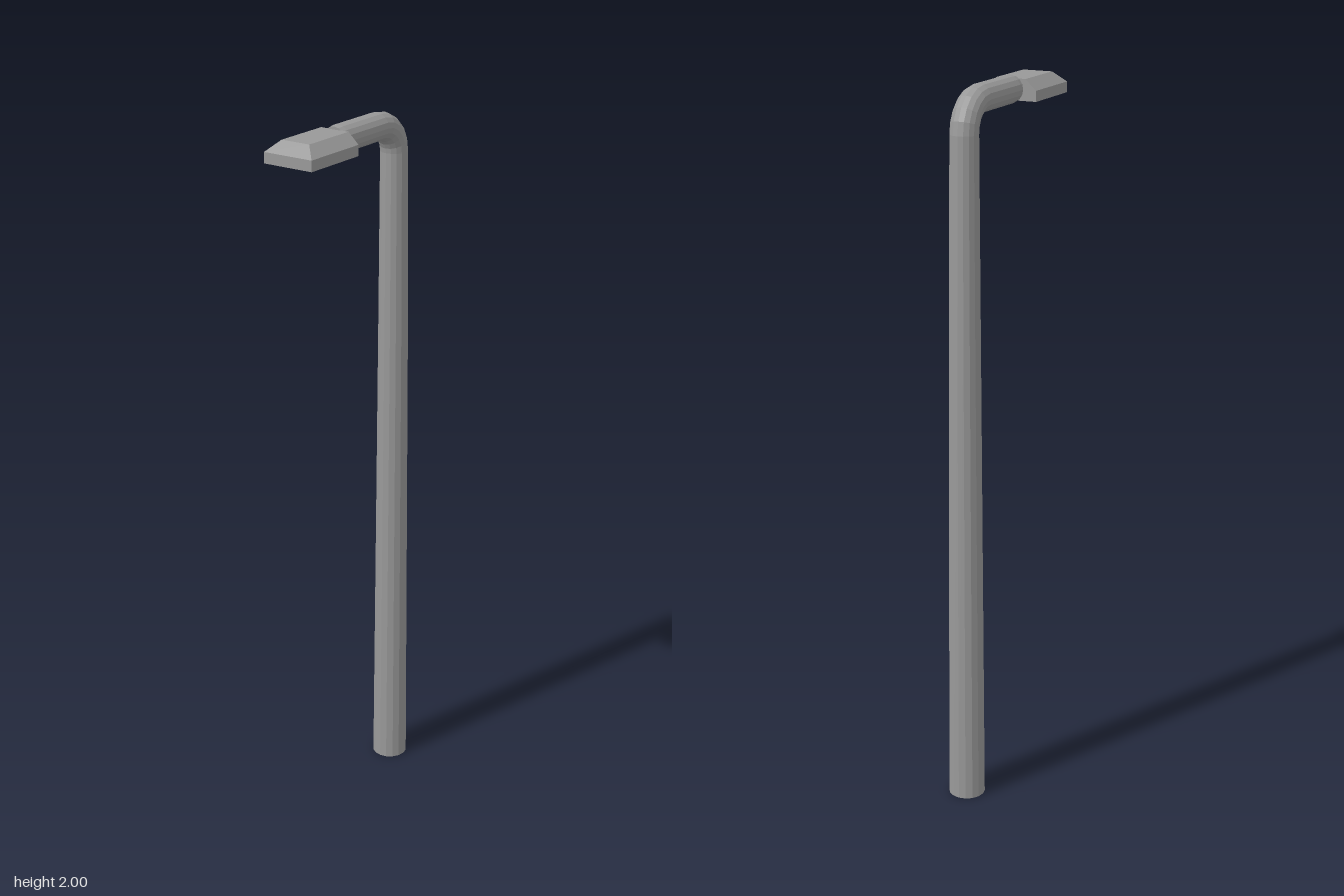
import * as THREE from 'three';

const material = new THREE.MeshStandardMaterial({ color: 0x999999, flatShading: true });

// Skin a list of equal-sized point rings (counter-clockwise about the sweep) and cap both ends.
function loft(name, rings) {
  const n = rings[0].length;
  const last = (rings.length - 1) * n;
  const index = [];
  for (let i = 0; i < rings.length - 1; i++) {
    for (let j = 0; j < n; j++) {
      const k = (j + 1) % n;
      const a = i * n + j, b = i * n + k;
      index.push(a, b, b + n, a, b + n, a + n);
    }
  }
  for (let j = 1; j < n - 1; j++) {
    index.push(0, j + 1, j);
    index.push(last, last + j, last + j + 1);
  }
  const indexed = new THREE.BufferGeometry().setFromPoints(rings.flat());
  indexed.setIndex(index);
  const geometry = indexed.toNonIndexed();
  geometry.computeVertexNormals();
  const mesh = new THREE.Mesh(geometry, material);
  mesh.name = name;
  return mesh;
}

// Circle round a point of the pole; lean turns it from upright (0) towards -x (PI / 2).
function circle(x, y, radius, lean, sides = 16) {
  return Array.from({ length: sides }, (_, j) => {
    const t = (j / sides) * Math.PI * 2;
    const out = radius * Math.cos(t);
    return new THREE.Vector3(
      x + out * Math.cos(lean), y + out * Math.sin(lean), -radius * Math.sin(t));
  });
}

// Level rectangle used for the lamp head.
function rectangle(x0, x1, halfZ, y) {
  return [[x1, -halfZ], [x0, -halfZ], [x0, halfZ], [x1, halfZ]]
    .map(([x, z]) => new THREE.Vector3(x, y, z));
}

export function createModel() {
  const group = new THREE.Group();
  group.name = 'streetLamp';

  // Tapered pole, rounded elbow and horizontal arm
  const bend = 0.08, poleX = 0.202, armY = 1.962, tube = 0.038;
  const rings = [circle(0.211, 0, 0.051, 0), circle(0.206, 1.4, 0.042, 0)];
  const steps = 5;
  for (let i = 0; i <= steps; i++) {
    const a = (i / steps) * Math.PI / 2;
    rings.push(circle(
      poleX - bend + bend * Math.cos(a), armY - bend + bend * Math.sin(a), tube, a));
  }
  rings.push(circle(-0.05, armY, tube, Math.PI / 2));
  rings.push(circle(-0.068, armY, 0.036, Math.PI / 2));
  group.add(loft('pole', rings));

  // Lamp head: shallow panel underneath, upright rim, bevelled top with a square inner end
  group.add(loft('lampHead', [
    rectangle(-0.232, -0.096, 0.045, 1.938),
    rectangle(-0.238, -0.09, 0.051, 1.932),
    rectangle(-0.262, -0.065, 0.074, 1.932),
    rectangle(-0.262, -0.065, 0.074, 1.961),
    rectangle(-0.23, -0.065, 0.043, 1.99),
  ]));

  return group;
}
